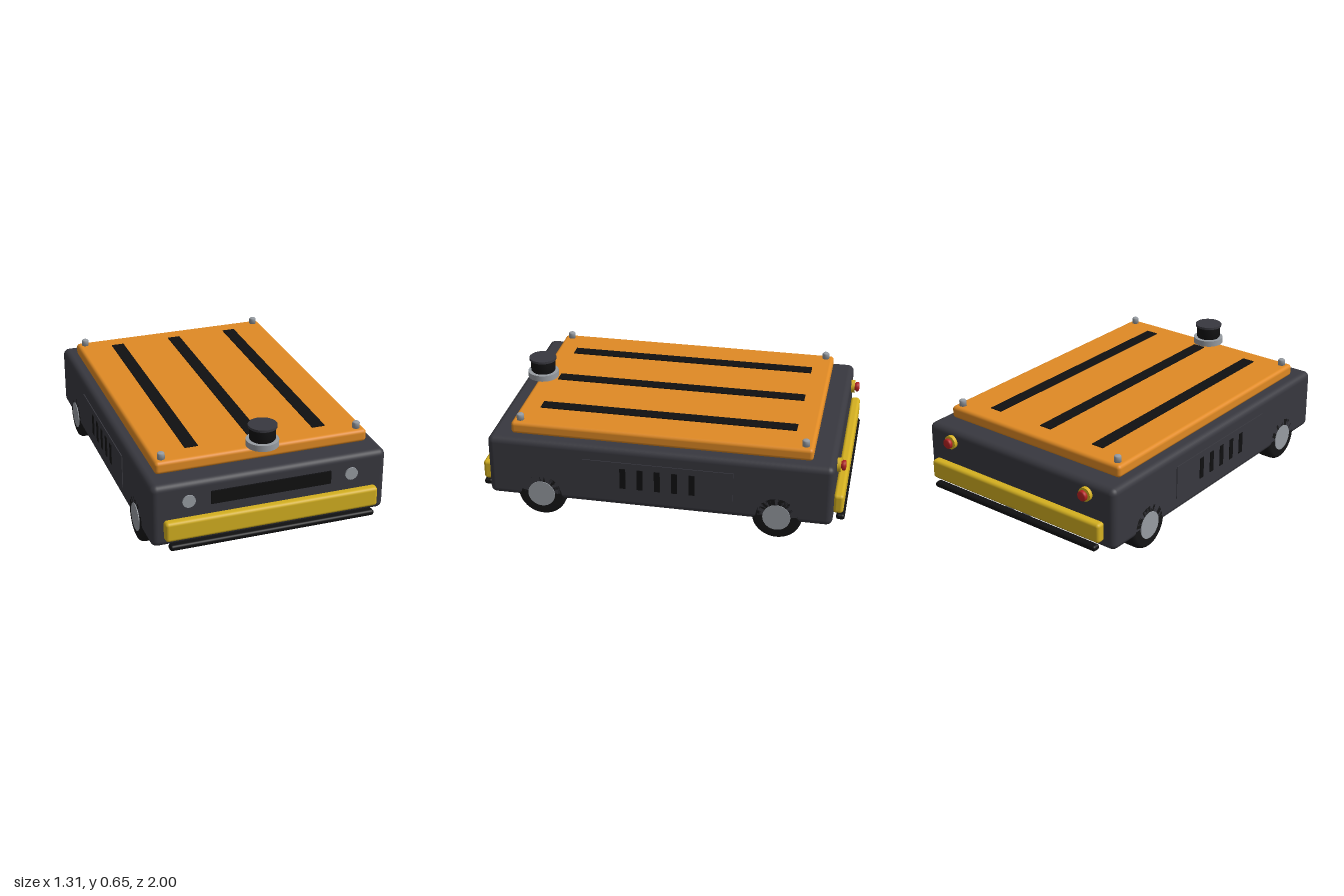
import * as THREE from 'three';
import { RoundedBoxGeometry } from 'three/addons/geometries/RoundedBoxGeometry.js';

const mat = (name, color) => {
  const m = new THREE.MeshStandardMaterial({ color });
  m.name = name;
  return m;
};

export function createModel() {
  const root = new THREE.Group();
  root.name = 'transportRobot';
  const charcoal = mat('charcoal', 0x38383f);
  const orange = mat('orange', 0xe08a24);
  const yellow = mat('yellow', 0xd4b020);
  const black = mat('black', 0x101011);
  const rubber = mat('rubber', 0x161617);
  const metal = mat('metal', 0x979ca2);
  const red = mat('red', 0xb52222);

  const add = (name, geo, m, x, y, z, parent = root) => {
    const mesh = new THREE.Mesh(geo, m);
    mesh.name = name;
    mesh.position.set(x, y, z);
    parent.add(mesh);
    return mesh;
  };
  const box = (w, h, d) => new THREE.BoxGeometry(w, h, d);
  const rounded = (w, h, d, r) => new RoundedBoxGeometry(w, h, d, 4, r);
  const disc = (r, h, n = 32) => new THREE.CylinderGeometry(r, r, h, n);
  const lathe = (pts, n = 40) =>
    new THREE.LatheGeometry(pts.map(([r, y]) => new THREE.Vector2(r, y)), n);

  // Chassis and load deck
  add('body', rounded(1.29, 0.35, 1.88, 0.035), charcoal, 0, 0.285, 0);
  add('deck', rounded(1.17, 0.07, 1.64, 0.02), orange, 0, 0.495, 0);
  for (const x of [-0.355, 0, 0.355])
    add('gripStrip', box(0.072, 0.008, 1.415), black, x, 0.531, -0.002);
  for (const x of [-0.54, 0.54])
    for (const z of [-0.775, 0.775])
      add('deckPin', lathe([[0, -0.02], [0.02, -0.02], [0.02, 0.012], [0.015, 0.018], [0, 0.018]], 20),
        metal, x, 0.547, z);

  // Bumpers with a contact strip below, front and back
  for (const s of [1, -1]) {
    add('bumper', rounded(1.17, 0.11, 0.055, 0.018), yellow, 0, 0.215, s * 0.964);
    add('bumperStrip', rounded(1.13, 0.032, 0.046, 0.014), black, 0, 0.126, s * 0.977);
  }

  // Wheels: rounded tyre with a hub passing through it
  const tyre = lathe([[0.06, -0.057], [0.112, -0.057], [0.125, -0.052], [0.133, -0.04],
    [0.135, -0.028], [0.135, 0.028], [0.133, 0.04], [0.125, 0.052], [0.112, 0.057], [0.06, 0.057]], 48);
  for (const sx of [1, -1])
    for (const z of [0.645, -0.645]) {
      const wheel = new THREE.Group();
      wheel.name = 'wheel';
      wheel.position.set(sx * 0.588, 0.138, z);
      wheel.rotation.z = -sx * Math.PI / 2;
      root.add(wheel);
      add('tyre', tyre, rubber, 0, 0, 0, wheel);
      add('hub', disc(0.075, 0.122), metal, 0, 0, 0, wheel);
    }

  // Side access panels with cooling slots
  for (const s of [1, -1]) {
    add('sidePanel', box(0.012, 0.19, 0.82), charcoal, s * 0.644, 0.285, 0);
    for (let i = -2; i <= 2; i++)
      add('coolingSlot', box(0.012, 0.12, 0.032), black, s * 0.648, 0.285, i * 0.094);
  }

  // Front sensor window and headlights
  add('sensorWindow', box(0.66, 0.072, 0.016), black, 0, 0.355, 0.941);
  for (const x of [-0.447, 0.447])
    add('headlight', disc(0.035, 0.016), metal, x, 0.355, 0.94).rotation.x = Math.PI / 2;

  // Rear stop buttons
  for (const x of [-0.47, 0.47]) {
    const stop = new THREE.Group();
    stop.name = 'stopButton';
    stop.position.set(x, 0.395, -0.94);
    stop.rotation.x = -Math.PI / 2;
    root.add(stop);
    add('buttonCollar', disc(0.038, 0.03), yellow, 0, 0.005, 0, stop);
    add('buttonCap', lathe([[0, 0], [0.02, 0], [0.02, 0.024], [0.028, 0.026], [0.028, 0.04], [0.022, 0.046], [0, 0.046]], 28),
      red, 0, 0, 0, stop);
  }

  // Rear charging contacts, tucked behind the bumper
  for (const x of [-0.06, 0.06])
    add('chargeContact', box(0.06, 0.09, 0.012), metal, x, 0.17, -0.94);

  // Scanner turret
  const scanner = new THREE.Group();
  scanner.name = 'scanner';
  scanner.position.set(0, 0, 0.8);
  root.add(scanner);
  add('scannerBase', disc(0.087, 0.034, 40), metal, 0, 0.549, 0, scanner);
  add('scannerDrum', lathe([[0, 0], [0.064, 0], [0.07, 0.008], [0.07, 0.062], [0.064, 0.072], [0, 0.072]]),
    black, 0, 0.565, 0, scanner);
  add('scannerCap', disc(0.077, 0.013, 40), charcoal, 0, 0.643, 0, scanner);

  return root;
}
